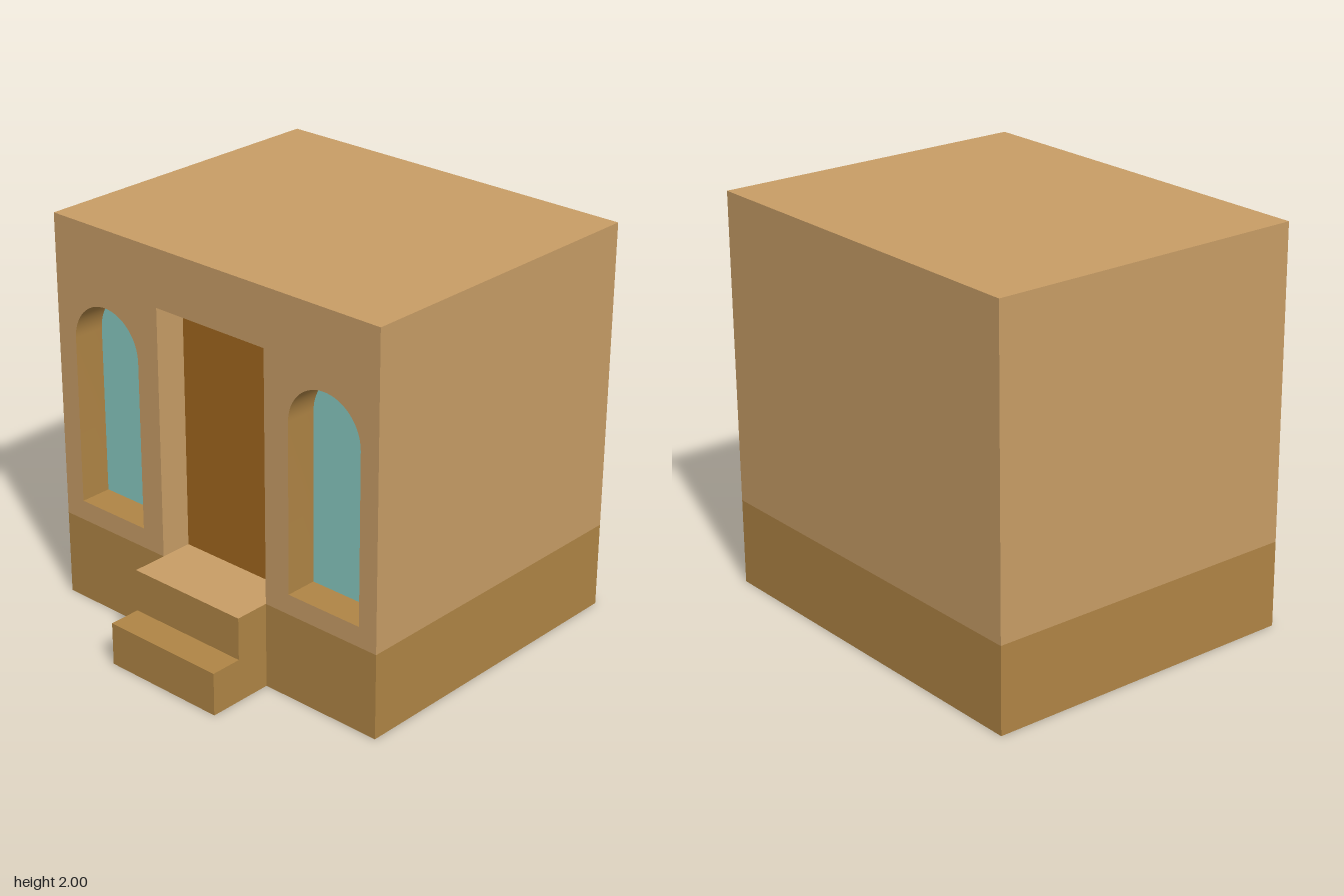
import * as THREE from 'three';
import { toCreasedNormals } from 'three/addons/utils/BufferGeometryUtils.js';

const WALL = 0xc89d66, BASE = 0xb08545, DOOR = 0xa0661e, GLASS = 0x87c9c1;
const FRONT = 0.655, BACK = -1, RECESS = 0.49;   // z of facade, rear wall, recessed panels
const BASE_H = 0.437, DOOR_W = 0.333, DOOR_TOP = 1.71;
const STEP_H = 0.22, STEP_Z = 0.836;
const TURN = {
  front: [0, 0], back: [0, Math.PI], left: [0, Math.PI / 2], right: [0, -Math.PI / 2],
  up: [-Math.PI / 2, 0], down: [Math.PI / 2, 0],
};

const materials = {};
const paint = (color) => (materials[color] ??= new THREE.MeshStandardMaterial({ color, side: THREE.DoubleSide }));

function add(parent, name, geometry, color) {
  const mesh = new THREE.Mesh(geometry, paint(color));
  mesh.name = name;
  parent.add(mesh);
  return mesh;
}

// Flat rectangle between two opposite corners, facing the given way
function panel(parent, name, color, facing, a, b) {
  const [dx, dy, dz] = a.map((v, i) => Math.abs(v - b[i]));
  const sideways = facing === 'left' || facing === 'right';
  const level = facing === 'up' || facing === 'down';
  const geometry = new THREE.PlaneGeometry(sideways ? dz : dx, level ? dz : dy);
  const mesh = add(parent, name, geometry, color);
  mesh.position.set(...a.map((v, i) => (v + b[i]) / 2));
  mesh.rotation.set(TURN[facing][0], TURN[facing][1], 0);
}

// Round-topped window outline
function archPoints(cx) {
  const r = 0.211, bottom = 0.54, spring = 1.4, n = 32;
  const points = [new THREE.Vector2(cx - r, bottom), new THREE.Vector2(cx + r, bottom)];
  for (let i = 0; i <= n; i++) {
    const t = (Math.PI * i) / n;
    points.push(new THREE.Vector2(cx + r * Math.cos(t), spring + r * Math.sin(t)));
  }
  return points;
}

// Inward-facing strip running from the facade back to the glass
function revealGeometry(points) {
  const v = [];
  points.forEach((p, i) => {
    const q = points[(i + 1) % points.length];
    v.push(p.x, p.y, FRONT, q.x, q.y, FRONT, q.x, q.y, RECESS);
    v.push(p.x, p.y, FRONT, q.x, q.y, RECESS, p.x, p.y, RECESS);
  });
  const geometry = new THREE.BufferGeometry();
  geometry.setAttribute('position', new THREE.Float32BufferAttribute(v, 3));
  geometry.computeVertexNormals();
  return toCreasedNormals(geometry, Math.PI / 6);
}

export function createModel() {
  const model = new THREE.Group();
  model.name = 'house';

  // Outer walls in two bands, with roof and floor
  const shell = new THREE.Group();
  shell.name = 'shell';
  for (const [name, color, y0, y1] of [['base', BASE, 0, BASE_H], ['wall', WALL, BASE_H, 2]]) {
    panel(shell, name + 'Back', color, 'back', [-1, y0, BACK], [1, y1, BACK]);
    panel(shell, name + 'Left', color, 'left', [1, y0, BACK], [1, y1, FRONT]);
    panel(shell, name + 'Right', color, 'right', [-1, y0, BACK], [-1, y1, FRONT]);
  }
  for (const s of [-1, 1]) {
    panel(shell, 'baseFront', BASE, 'front', [s * DOOR_W, 0, FRONT], [s, BASE_H, FRONT]);
  }
  panel(shell, 'roof', WALL, 'up', [-1, 2, BACK], [1, 2, FRONT]);
  panel(shell, 'floor', BASE, 'down', [-1, 0, BACK], [1, 0, FRONT]);

  // Facade with a door notch and two window openings
  const facade = new THREE.Shape([
    [-1, BASE_H], [-DOOR_W, BASE_H], [-DOOR_W, DOOR_TOP], [DOOR_W, DOOR_TOP],
    [DOOR_W, BASE_H], [1, BASE_H], [1, 2], [-1, 2],
  ].map(([x, y]) => new THREE.Vector2(x, y)));

  // Recessed arched windows
  for (const [name, cx] of [['rightWindow', -0.675], ['leftWindow', 0.687]]) {
    const points = archPoints(cx);
    facade.holes.push(new THREE.Path(points));
    const group = new THREE.Group();
    group.name = name;
    add(group, 'glass', new THREE.ShapeGeometry(new THREE.Shape(points)), GLASS).position.z = RECESS;
    add(group, 'reveal', revealGeometry(points), BASE);
    model.add(group);
  }
  add(shell, 'facade', new THREE.ShapeGeometry(facade), WALL).position.z = FRONT;
  model.add(shell);

  // Recessed doorway
  const doorway = new THREE.Group();
  doorway.name = 'doorway';
  panel(doorway, 'door', DOOR, 'front', [-DOOR_W, BASE_H, RECESS], [DOOR_W, DOOR_TOP, RECESS]);
  panel(doorway, 'lintel', WALL, 'down', [-DOOR_W, DOOR_TOP, RECESS], [DOOR_W, DOOR_TOP, FRONT]);
  for (const [s, facing] of [[-1, 'left'], [1, 'right']]) {
    panel(doorway, 'jamb', WALL, facing, [s * DOOR_W, BASE_H, RECESS], [s * DOOR_W, DOOR_TOP, FRONT]);
  }
  model.add(doorway);

  // Entrance steps; the top tread runs back to the door
  const steps = new THREE.Group();
  steps.name = 'steps';
  const w = DOOR_W;
  panel(steps, 'topTread', WALL, 'up', [-w, BASE_H, RECESS], [w, BASE_H, STEP_Z]);
  panel(steps, 'upperRiser', BASE, 'front', [-w, STEP_H, STEP_Z], [w, BASE_H, STEP_Z]);
  panel(steps, 'lowerTread', BASE, 'up', [-w, STEP_H, STEP_Z], [w, STEP_H, 1]);
  panel(steps, 'lowerRiser', BASE, 'front', [-w, 0, 1], [w, STEP_H, 1]);
  panel(steps, 'underside', BASE, 'down', [-w, 0, FRONT], [w, 0, 1]);
  for (const [s, facing] of [[-1, 'right'], [1, 'left']]) {
    panel(steps, 'upperSide', BASE, facing, [s * w, STEP_H, FRONT], [s * w, BASE_H, STEP_Z]);
    panel(steps, 'lowerSide', BASE, facing, [s * w, 0, FRONT], [s * w, STEP_H, 1]);
  }
  model.add(steps);

  return model;
}
